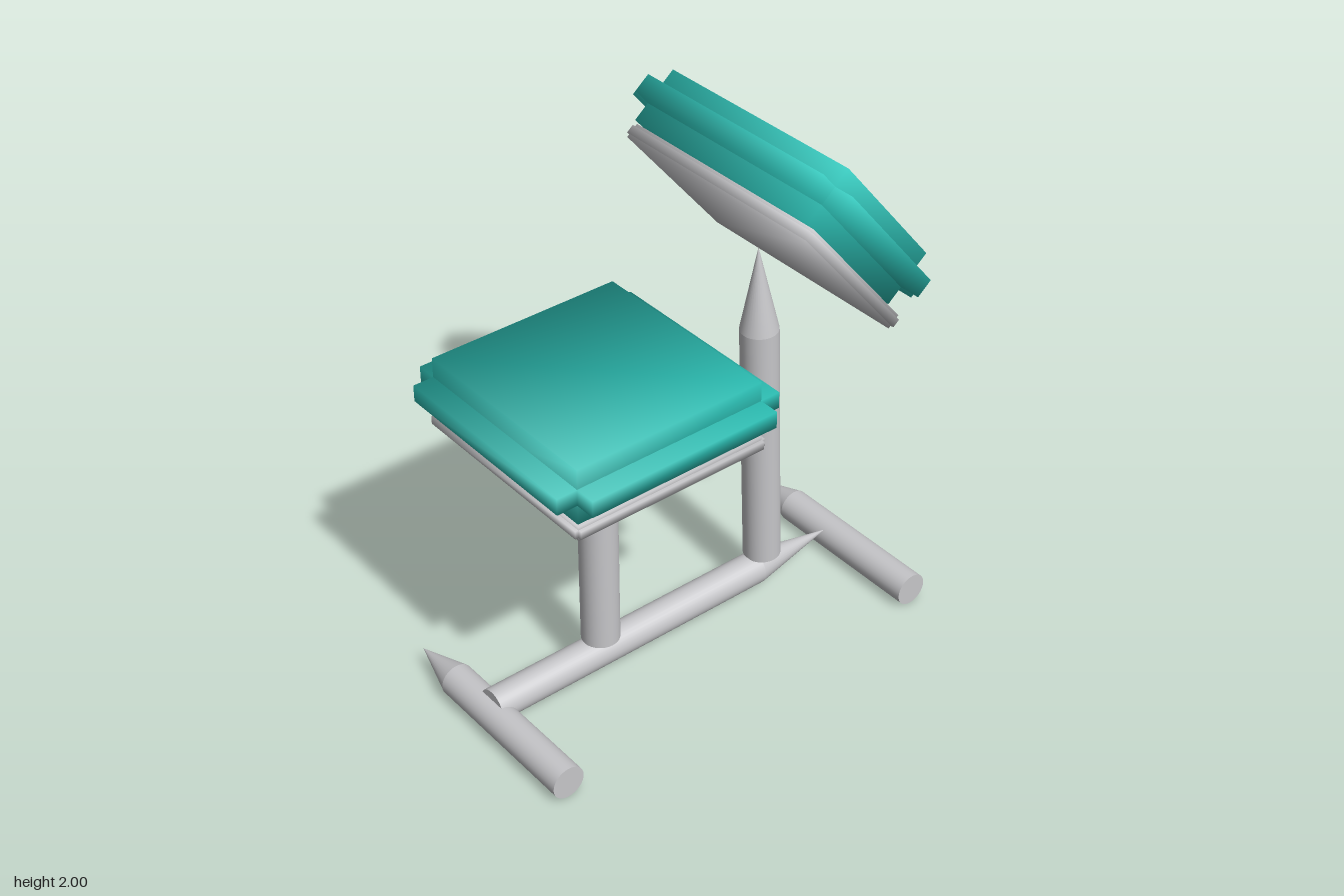
import * as THREE from 'three';

const teal = new THREE.MeshStandardMaterial({ color: 0x2ec4b9 });
teal.name = 'teal upholstery';
const grey = new THREE.MeshStandardMaterial({ color: 0xc6c6c9 });
grey.name = 'light grey frame';

// Box whose corner normals are averaged, giving a soft pillowy shading
function softBox(w, h, d, material, name) {
  const geometry = new THREE.BoxGeometry(w, h, d);
  const p = geometry.attributes.position;
  const n = geometry.attributes.normal;
  const s = 1 / Math.sqrt(3);
  for (let i = 0; i < p.count; i++) {
    n.setXYZ(i, Math.sign(p.getX(i)) * s, Math.sign(p.getY(i)) * s, Math.sign(p.getZ(i)) * s);
  }
  const mesh = new THREE.Mesh(geometry, material);
  mesh.name = name;
  return mesh;
}

// Thick core with a thin lip standing out on all four sides
function lippedSlab(name, w, h, d, lip, lipHeight, material) {
  const group = new THREE.Group();
  group.name = name;
  group.add(
    softBox(w, h, d, material, name + 'Core'),
    softBox(w, lipHeight, d + 2 * lip, material, name + 'EndLips'),
    softBox(w + 2 * lip, lipHeight, d, material, name + 'SideLips')
  );
  return group;
}

// Round bar along +y from the origin, ending in a point
function pointedBar(name, radius, length, tip) {
  const group = new THREE.Group();
  group.name = name;
  const shaft = new THREE.Mesh(new THREE.CylinderGeometry(radius, radius, length, 32), grey);
  shaft.name = name + 'Shaft';
  shaft.position.y = length / 2;
  const point = new THREE.Mesh(new THREE.ConeGeometry(radius, tip, 32, 1, true), grey);
  point.name = name + 'Tip';
  point.position.y = length + tip / 2;
  group.add(shaft, point);
  return group;
}

export function createModel() {
  const model = new THREE.Group();
  model.name = 'kneelingChair';

  // Seat cushion on its base plate
  const seat = new THREE.Group();
  seat.name = 'seat';
  seat.position.set(0, 1.185, 0.315);
  const seatPlate = lippedSlab('seatPlate', 0.79, 0.055, 0.75, 0.013, 0.03, grey);
  seatPlate.position.y = -0.138;
  seat.add(lippedSlab('seatCushion', 0.78, 0.21, 0.745, 0.078, 0.062, teal), seatPlate);
  model.add(seat);

  // Tilted upper pad with its plate facing forward and down
  const pad = new THREE.Group();
  pad.name = 'upperPad';
  pad.position.set(0, 1.691, -0.463);
  pad.rotation.x = -0.877;
  const padPlate = lippedSlab('padPlate', 0.88, 0.055, 0.625, 0.013, 0.03, grey);
  padPlate.position.set(0, -0.136, -0.048);
  pad.add(lippedSlab('padCushion', 0.86, 0.21, 0.585, 0.08, 0.07, teal), padPlate);
  model.add(pad);

  // Uprights
  const frontLeg = pointedBar('frontLeg', 0.07, 0.7, 0.19);
  frontLeg.position.set(0, 0.16, 0.32);
  const backLeg = pointedBar('backLeg', 0.07, 1.0, 0.33);
  backLeg.position.set(0, 0.16, -0.43);
  backLeg.rotation.x = 0.041;

  // Floor beam pointing to the back
  const beam = pointedBar('floorBeam', 0.0625, 1.19, 0.35);
  beam.position.set(0, 0.098, 0.79);
  beam.rotation.x = -Math.PI / 2;
  model.add(frontLeg, backLeg, beam);

  // Cross feet, points towards the right
  for (const side of [1, -1]) {
    const foot = pointedBar(side > 0 ? 'frontFoot' : 'backFoot', 0.0625, 0.65, 0.21);
    foot.position.set(0.43, 0.0625, side * 0.787);
    foot.rotation.z = Math.PI / 2;
    model.add(foot);
  }
  return model;
}
